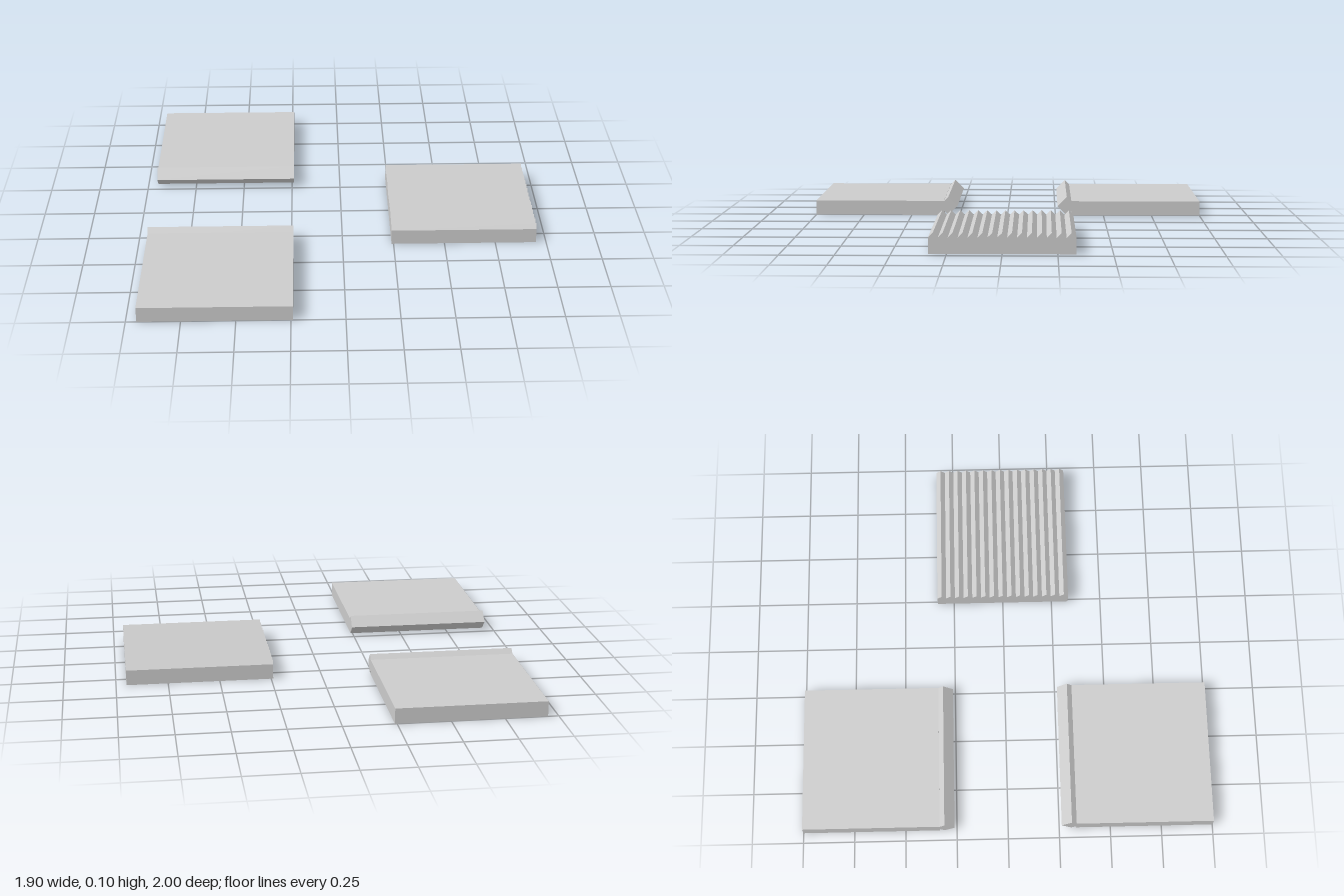
import * as THREE from 'three';

const WIDTH = 0.71, DEPTH = 0.667, THICK = 0.074, PEAK = 0.096;
const OFFSET_X = 0.595;
const material = new THREE.MeshStandardMaterial({ color: 0xcccccc, flatShading: true });

function mesh(name, geometry) {
  const m = new THREE.Mesh(geometry, material);
  m.name = name;
  return m;
}

// Extrudes a (z, y) profile across the plate width, centred on x = 0
function extrudeAcross(points) {
  const shape = new THREE.Shape(points.map(([z, y]) => new THREE.Vector2(-z, y)));
  const geometry = new THREE.ExtrudeGeometry(shape, { depth: WIDTH, bevelEnabled: false });
  geometry.translate(0, 0, -WIDTH / 2);
  return geometry.rotateY(Math.PI / 2);
}

// Flat plate with a diamond bar set along its inner edge (inner edge faces -z)
function lippedPlate(name) {
  const group = new THREE.Group();
  group.name = name;
  const slab = mesh('plateSlab', new THREE.BoxGeometry(WIDTH, THICK, DEPTH));
  slab.position.set(0, THICK / 2, 1 - DEPTH / 2);
  const half = PEAK / 2;
  const side = half * Math.SQRT2;
  const bar = mesh('edgeBar', new THREE.BoxGeometry(WIDTH, side, side));
  bar.rotation.x = Math.PI / 4;
  bar.position.set(0, half, 0.309);
  group.add(slab, bar);
  return group;
}

// Plate whose top is a row of triangular ridges
function ridgedPlate(name) {
  const teeth = 15, pitch = DEPTH / teeth, start = -DEPTH / 2;
  const points = [[start, 0], [start, THICK]];
  for (let i = 0; i < teeth; i++) {
    points.push([start + (i + 0.5) * pitch, PEAK], [start + (i + 1) * pitch, THICK]);
  }
  points.push([-start, 0]);
  return mesh(name, extrudeAcross(points));
}

export function createModel() {
  const model = new THREE.Group();
  model.name = 'plateSet';

  const front = lippedPlate('frontPlate');
  front.position.x = -OFFSET_X;

  const back = lippedPlate('backPlate');
  back.rotation.y = Math.PI;
  back.position.x = -OFFSET_X;

  const ridged = ridgedPlate('ridgedPlate');
  ridged.position.x = OFFSET_X;

  model.add(front, back, ridged);
  return model;
}
